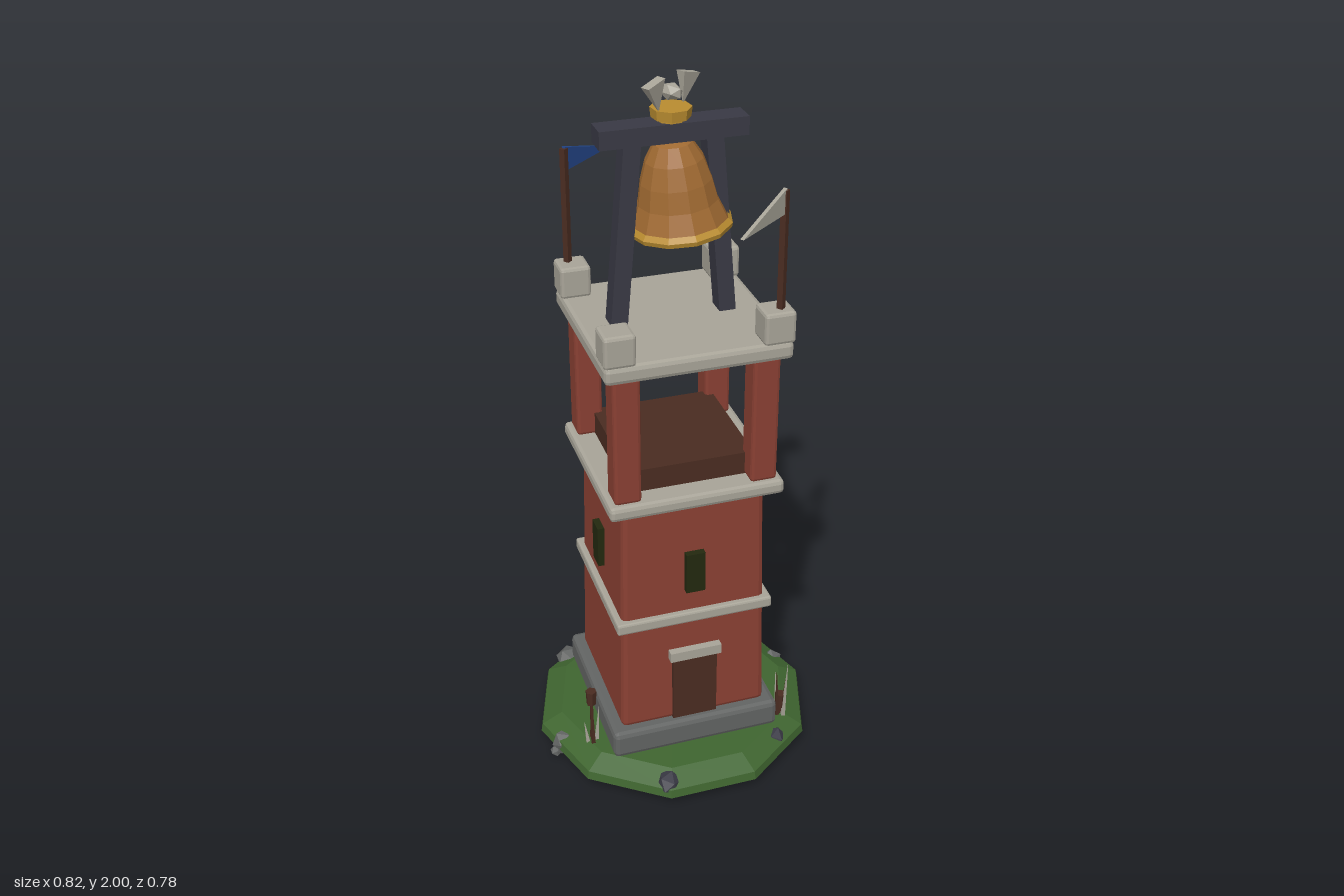
import * as THREE from 'three';
import { RoundedBoxGeometry } from 'three/addons/geometries/RoundedBoxGeometry.js';

const mat = (name, color) => {
  const m = new THREE.MeshStandardMaterial({ color, side: THREE.DoubleSide, flatShading: true });
  m.name = name;
  return m;
};

export function createModel() {
  const brick = mat('brick', 0x8a4033), stone = mat('paleStone', 0xa8a498);
  const slate = mat('darkStone', 0x626463), grass = mat('grass', 0x3f6530);
  const iron = mat('darkTimber', 0x393944), wood = mat('brownWood', 0x4a2c21);
  const bronze = mat('bronze', 0xa06a32), gold = mat('gold', 0xb98c30);
  const blue = mat('blueCloth', 0x25488c), glass = mat('darkWindow', 0x23280f);

  const model = new THREE.Group();
  model.name = 'bellTower';
  const tower = new THREE.Group();
  tower.name = 'tower';
  tower.position.x = -0.003;
  model.add(tower);

  const add = (parent, name, geo, material, x = 0, y = 0, z = 0) => {
    const m = new THREE.Mesh(geo, material);
    m.name = name;
    m.position.set(x, y, z);
    parent.add(m);
    return m;
  };
  // Box given by its size and the height of its underside, chamfered if bevel > 0
  const box = (parent, name, material, w, h, d, x, y0, z, bevel = 0) => add(parent, name,
    bevel ? new RoundedBoxGeometry(w, h, d, 1, bevel) : new THREE.BoxGeometry(w, h, d),
    material, x, y0 + h / 2, z);
  // Square bar between two points
  const bar = (parent, name, material, a, b, w, d, topScale = 1) => {
    const h = a.distanceTo(b);
    const geo = new THREE.CylinderGeometry(Math.SQRT1_2 * topScale, Math.SQRT1_2, h, 4).rotateY(Math.PI / 4).scale(w, 1, d);
    const m = add(parent, name, geo, material);
    m.position.copy(a).add(b).multiplyScalar(0.5);
    m.quaternion.setFromUnitVectors(new THREE.Vector3(0, 1, 0), b.clone().sub(a).normalize());
    return m;
  };
  const V = (x, y, z) => new THREE.Vector3(x, y, z);

  // Ten-sided grass mound
  const mound = [[0, 0.015], [0.385, 0.015], [0.41, 0.035], [0.405, 0.06], [0.345, 0.09], [0, 0.1]]
    .map(p => new THREE.Vector2(...p));
  add(model, 'grassMound', new THREE.LatheGeometry(mound, 10).rotateY(Math.PI / 2), grass);

  // Plinth and tapering brick body
  box(tower, 'plinth', slate, 0.495, 0.085, 0.495, 0, 0.092, 0, 0.015);
  const bodyGeo = new RoundedBoxGeometry(0.43, 0.74, 0.43, 1, 0.016);
  const p = bodyGeo.attributes.position;
  for (let i = 0; i < p.count; i++) {
    const s = 1 - 0.07 * (p.getY(i) / 0.74 + 0.5);
    p.setX(i, p.getX(i) * s);
    p.setZ(i, p.getZ(i) * s);
  }
  add(tower, 'brickBody', bodyGeo, brick, 0, 0.54, 0);
  box(tower, 'middleBand', stone, 0.45, 0.034, 0.45, 0, 0.513, 0, 0.006);
  box(tower, 'upperBand', stone, 0.485, 0.042, 0.485, 0, 0.9, 0, 0.012);

  // Door with lintel
  box(tower, 'door', wood, 0.13, 0.22, 0.03, 0, 0.175, 0.208);
  box(tower, 'doorLintel', stone, 0.15, 0.03, 0.045, 0, 0.39, 0.21);

  // Windows on the front and both sides
  for (const a of [0, Math.PI / 2, -Math.PI / 2]) {
    const w = box(tower, 'window', glass, 0.054, 0.125, 0.03, 0.208 * Math.sin(a), 0.615, 0.208 * Math.cos(a));
    w.rotation.y = a;
  }

  // Open belfry: floor, pillars, joist, roof slab and corner blocks
  box(tower, 'belfryFloor', wood, 0.35, 0.075, 0.35, 0, 0.932, 0);
  box(tower, 'joist', wood, 0.4, 0.045, 0.07, 0, 1.27, 0);
  for (const x of [-1, 1]) for (const z of [-1, 1]) {
    box(tower, 'pillar', brick, 0.074, 0.37, 0.074, x * 0.188, 0.94, z * 0.188, 0.009);
    box(tower, 'cornerBlock', stone, 0.084, 0.088, 0.084, x * 0.21, 1.357, z * 0.21, 0.009);
  }
  box(tower, 'roofSlab', stone, 0.5, 0.05, 0.5, 0, 1.31, 0, 0.013);

  // Bell frame
  for (const s of [-1, 1])
    bar(tower, 'frameLeg', iron, V(s * 0.148, 1.355, 0), V(s * 0.106, 1.85, 0), 0.045, 0.054);
  box(tower, 'crossBeam', iron, 0.385, 0.048, 0.07, 0, 1.838, 0);

  // Swinging bell
  const bell = new THREE.Group();
  bell.name = 'bell';
  bell.position.set(0.003, 1.842, 0);
  bell.rotation.z = 0.09;
  tower.add(bell);
  const lathe = pts => new THREE.LatheGeometry(pts.map(q => new THREE.Vector2(...q)), 12);
  add(bell, 'bellBody', lathe([[0.128, -0.225], [0.104, -0.165], [0.093, -0.11], [0.075, -0.055],
    [0.05, -0.012], [0, 0]]), bronze);
  add(bell, 'bellRim', lathe([[0.112, -0.225], [0.116, -0.24], [0.134, -0.24], [0.137, -0.228],
    [0.126, -0.215]]), gold);
  add(bell, 'clapperRod', new THREE.CylinderGeometry(0.008, 0.008, 0.24, 6), iron, 0, -0.13, 0);
  add(bell, 'clapper', new THREE.IcosahedronGeometry(0.027, 1), iron, 0, -0.262, 0);

  // Gold cap with finial and two flared wings
  const cap = new THREE.Group();
  cap.name = 'cap';
  cap.rotation.y = Math.PI / 6;
  tower.add(cap);
  add(cap, 'capNeck', new THREE.CylinderGeometry(0.036, 0.036, 0.02, 8), gold, 0, 1.89, 0);
  add(cap, 'capRing', new THREE.CylinderGeometry(0.053, 0.05, 0.026, 8), gold, 0, 1.907, 0);
  add(cap, 'finial', new THREE.IcosahedronGeometry(1, 0).scale(0.025, 0.022, 0.036), stone, 0, 1.957, 0);
  for (const s of [-1, 1]) {
    const wing = add(cap, 'finialWing',
      new THREE.CylinderGeometry(Math.SQRT1_2, 0.04, 0.075, 4).rotateY(Math.PI / 4).scale(0.06, 1, 0.026),
      stone, s * 0.054, 1.956, 0);
    wing.rotation.z = -s * 0.25;
  }

  // Pennants on poles at opposite corners
  for (const [s, cloth] of [[-1, blue], [1, stone]]) {
    const flag = new THREE.Group();
    flag.name = 'flag';
    flag.position.set(s * 0.219, 0, s * 0.219);
    flag.rotation.y = Math.atan2(-0.132, -0.16) + (s < 0 ? Math.PI : 0);
    tower.add(flag);
    box(flag, 'flagPole', wood, 0.016, 0.33, 0.016, 0, 1.43, 0);
    const tri = new THREE.Shape([[0, 1.7], [0.205, 1.705], [0, 1.765]].map(q => new THREE.Vector2(...q)));
    add(flag, 'pennant', new THREE.ExtrudeGeometry(tri, { depth: 0.01, bevelEnabled: false }), cloth, 0, 0, -0.005);
  }

  // Rocks round the edge: x, y, z, radius
  [[-0.25, 0.06, -0.275, 0.045, slate], [0.112, 0.055, -0.355, 0.046, iron],
    [0.355, 0.05, -0.08, 0.036, slate], [0.237, 0.055, 0.265, 0.036, iron],
    [-0.12, 0.06, 0.35, 0.039, iron], [-0.36, 0.045, 0.075, 0.038, slate]]
    .forEach(([x, y, z, r, m], i) => {
      const rock = add(model, 'rock', new THREE.IcosahedronGeometry(r, 0), m, x, y, z);
      rock.scale.y = 0.8;
      rock.rotation.set(0.4 * i, 1.1 * i, 0.3 * i);
    });
  add(model, 'lowStone', new THREE.IcosahedronGeometry(0.018, 0), slate, -0.385, 0.018, 0.08);

  // Reed clumps: x, z, height of the seed head
  [[-0.29, 0.145, 0.25], [0.272, 0.2, 0.14], [-0.032, -0.295, 0.25]].forEach(([x, z, h], k) => {
    const clump = new THREE.Group();
    clump.name = 'reedClump';
    clump.position.set(x, 0, z);
    model.add(clump);
    bar(clump, 'reedStem', wood, V(0, 0.07, 0), V(0, h, 0), 0.008, 0.008);
    add(clump, 'reedHead', new THREE.CylinderGeometry(0.016, 0.014, 0.046, 6), wood, 0, h, 0);
    for (let i = 0; i < 4; i++) {
      const a = i * 1.6 + k, r = 0.022;
      const top = (k === 1 ? 0.28 : 0.21) - 0.025 * i;
      bar(clump, 'reedBlade', i % 2 ? wood : stone, V(r * Math.cos(a) * 0.5, 0.07, r * Math.sin(a) * 0.5),
        V(r * Math.cos(a), top, r * Math.sin(a)), 0.013, 0.008, 0.1);
    }
  });

  return model;
}
